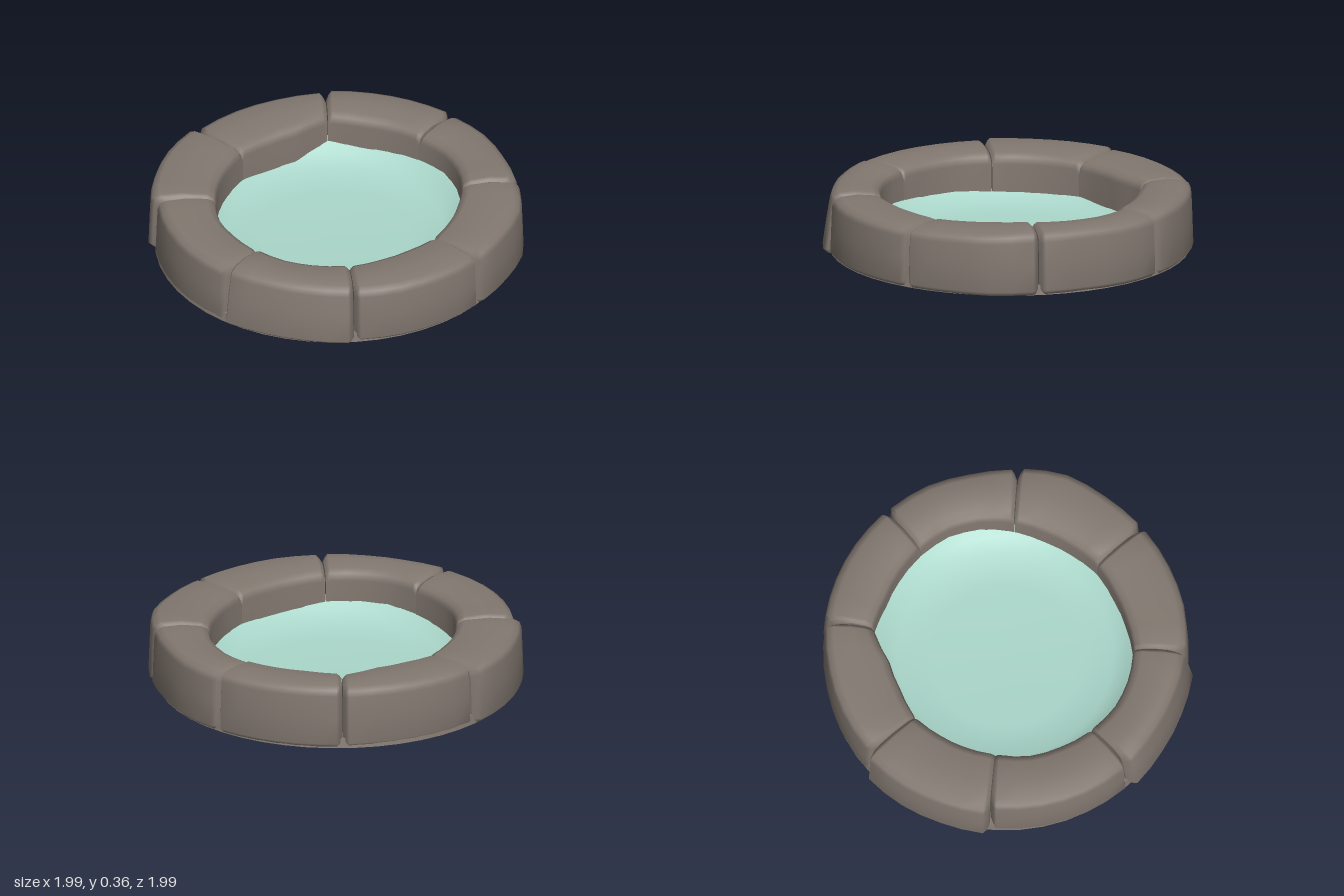
import * as THREE from 'three';

const stoneMat = new THREE.MeshStandardMaterial({ color: 0x827870 });
stoneMat.name = 'stone';
const waterMat = new THREE.MeshStandardMaterial({ color: 0xabd7cb, side: THREE.DoubleSide });
waterMat.name = 'water';

// Start/end angles (degrees from +x towards +z), four outer and inner radii along the arc,
// start/end heights, inward lean of the outer wall
const STONES = [
  { name: 'stoneRightFront', a: [1.5, 46], out: [0.99, 0.995, 0.985, 0.995], inn: [0.7, 0.71, 0.7, 0.68], h: [0.345, 0.352], lean: 0.01 },
  { name: 'stoneFrontRight', a: [46, 90], out: [1.0, 1.02, 1.0, 0.995], inn: [0.68, 0.66, 0.655, 0.66], h: [0.355, 0.335], lean: 0.01 },
  { name: 'stoneFrontLeft', a: [90, 135.3], out: [0.995, 0.99, 0.99, 0.98], inn: [0.66, 0.65, 0.66, 0.685], h: [0.335, 0.34], lean: 0.01 },
  { name: 'stoneLeftFront', a: [135.3, 179], out: [1.01, 0.995, 0.99, 1.0], inn: [0.685, 0.69, 0.69, 0.675], h: [0.345, 0.35], lean: 0.04 },
  { name: 'stoneLeftBack', a: [179, 227], out: [0.975, 0.975, 0.97, 0.965], inn: [0.675, 0.66, 0.655, 0.635], h: [0.34, 0.345], lean: 0.01 },
  { name: 'stoneBackLeft', a: [227, 271], out: [1.0, 0.995, 1.0, 1.0], inn: [0.635, 0.63, 0.63, 0.64], h: [0.345, 0.34], lean: 0.01 },
  { name: 'stoneBackRight', a: [271, 318.5], out: [0.97, 0.97, 0.97, 0.98], inn: [0.64, 0.62, 0.63, 0.71], h: [0.34, 0.35], lean: 0.01 },
  { name: 'stoneRightBack', a: [318.5, 361.5], out: [0.985, 0.985, 0.987, 0.99], inn: [0.71, 0.685, 0.69, 0.7], h: [0.358, 0.355], lean: 0.01 },
];

// Piecewise linear lookup in an evenly spaced list
function sample(list, t) {
  const f = t * (list.length - 1);
  const i = Math.min(Math.floor(f), list.length - 2);
  return THREE.MathUtils.lerp(list[i], list[i + 1], f - i);
}

// Rounded section of a stone, from the outer bottom over the top to the inner bottom
function section(ro, ri, h, lean) {
  const y0 = 0.006;
  const w = ro - ri;
  const rt = ro - lean;
  return [
    [ro - 0.025, y0], [ro, 0.03], [ro - lean * 0.5, h * 0.5], [rt, h - 0.055],
    [rt - 0.012, h - 0.025], [rt - 0.045, h - 0.008],
    [ri + w * 0.5, h], [ri + 0.05, h - 0.012],
    [ri + 0.015, h - 0.03], [ri, h - 0.065], [ri, y0],
    [ri, y0], [ro - 0.025, y0], // underside
  ];
}

function stoneGeometry({ a, out, inn, h, lean }) {
  const span = a[1] - a[0];
  // [angle, pinch]: the ends are pinched in to form the notches between stones
  const stations = [[0.15, 1], [1, 0.4], [2, 0]];
  for (let k = 1; k < 6; k++) stations.push([2 + ((span - 4) * k) / 6, 0]);
  stations.push([span - 2, 0], [span - 1, 0.4], [span - 0.15, 1]);

  const pos = [];
  const index = [];
  const rings = stations.map(([deg, pinch]) => {
    const t = deg / span;
    const ang = THREE.MathUtils.degToRad(a[0] + deg);
    const ro = sample(out, t) - pinch * 0.05;
    const height = sample(h, t) - pinch * 0.025;
    return section(ro, sample(inn, t), height, lean)
      .map(([r, y]) => [r * Math.cos(ang), y, r * Math.sin(ang)]);
  });
  const n = rings[0].length;
  rings.forEach((ring) => ring.forEach((p) => pos.push(...p)));
  for (let i = 0; i < rings.length - 1; i++) {
    for (let j = 0; j < n - 1; j++) {
      const p = i * n + j;
      index.push(p, p + 1, p + n, p + 1, p + n + 1, p + n);
    }
  }
  // Flat end caps
  [rings[0], rings[rings.length - 1]].forEach((ring, end) => {
    const c = pos.length / 3;
    const mid = [0, 1, 2].map((k) => ring.reduce((s, p) => s + p[k], 0) / n);
    pos.push(...mid);
    ring.forEach((p) => pos.push(...p));
    for (let j = 1; j < n; j++) {
      if (end) index.push(c, c + j, c + j + 1);
      else index.push(c, c + j + 1, c + j);
    }
  });
  const g = new THREE.BufferGeometry();
  g.setAttribute('position', new THREE.Float32BufferAttribute(pos, 3));
  g.setIndex(index);
  g.computeVertexNormals();
  return g;
}

export function createModel() {
  const model = new THREE.Group();
  model.name = 'stonePool';
  const add = (name, geometry, material) => {
    const mesh = new THREE.Mesh(geometry, material);
    mesh.name = name;
    model.add(mesh);
    return mesh;
  };

  // Ring of stones
  STONES.forEach((s) => add(s.name, stoneGeometry(s), stoneMat));

  // Solid floor slab
  add('floorSlab', new THREE.CylinderGeometry(0.955, 0.965, 0.05, 48), stoneMat).position.y = 0.025;

  // Shallow dished basin
  const dish = [[0.74, 0.2], [0.66, 0.14], [0.58, 0.095], [0.4, 0.072], [0, 0.07]]
    .map(([r, y]) => new THREE.Vector2(r, y));
  add('water', new THREE.LatheGeometry(dish, 32), waterMat);

  return model;
}
